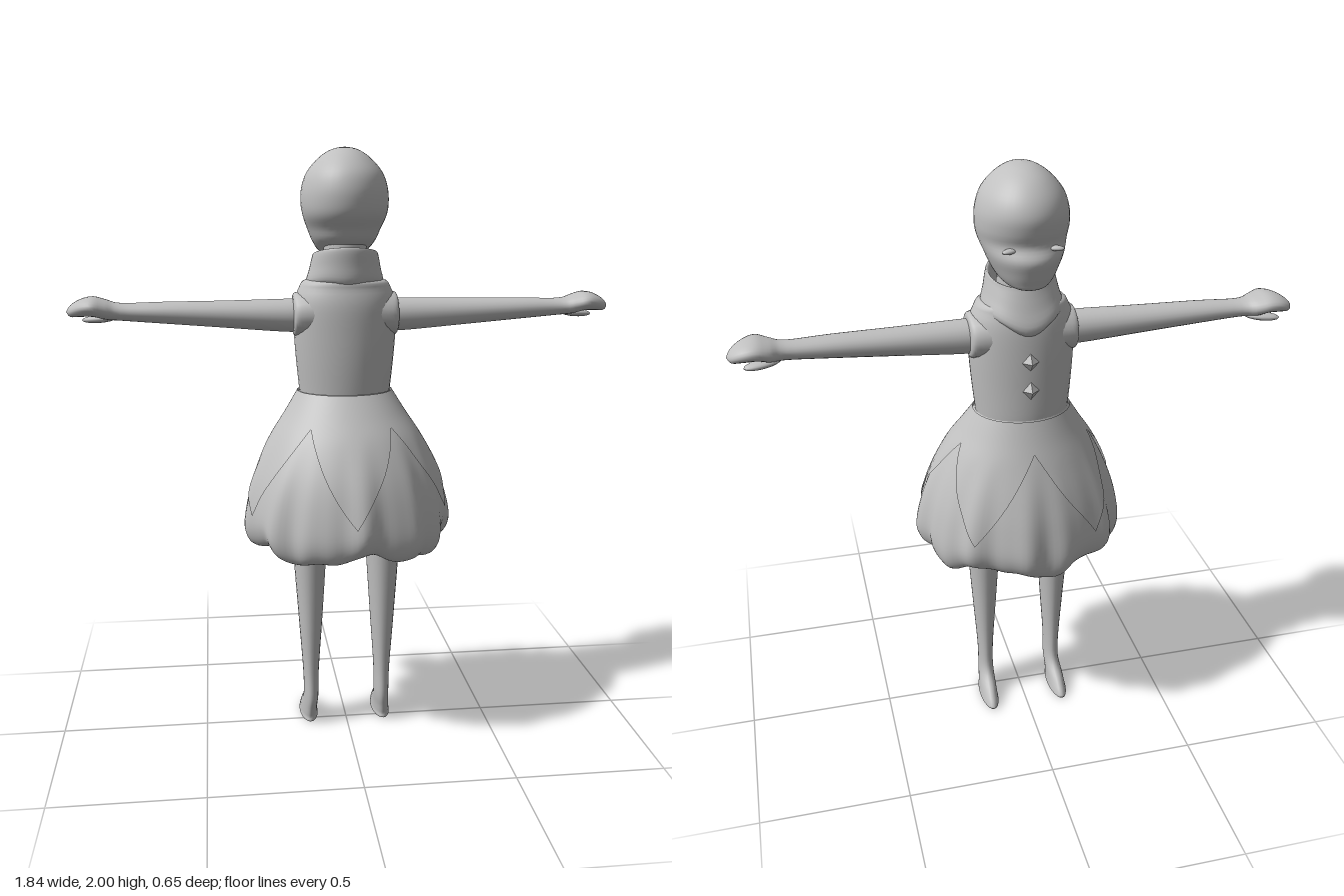
import * as THREE from 'three';

const grey = new THREE.MeshStandardMaterial({ color: 0xc0c0c0, side: THREE.DoubleSide });
grey.name = 'plain grey';

// Closed-loop surface: fn(angle, t) -> [x, y, z], rows running upwards
function surface(rows, cols, fn) {
  const pos = [], idx = [];
  for (let i = 0; i <= rows; i++)
    for (let j = 0; j < cols; j++) pos.push(...fn((j / cols) * Math.PI * 2, i / rows));
  for (let i = 0; i < rows; i++)
    for (let j = 0; j < cols; j++) {
      const a = i * cols + j, b = i * cols + ((j + 1) % cols);
      idx.push(a, b, b + cols, a, b + cols, a + cols);
    }
  const g = new THREE.BufferGeometry();
  g.setAttribute('position', new THREE.Float32BufferAttribute(pos, 3));
  g.setIndex(idx);
  g.computeVertexNormals();
  return g;
}

// Smooth interpolation between cross-sections [height, centreX, centreZ, radiusX, radiusZ]
function sample(sec, u) {
  const n = sec.length - 1;
  const i = Math.min(Math.floor(u), n - 1), f = u - i;
  const p = (k) => sec[Math.max(0, Math.min(n, k))];
  return sec[0].map((_, c) => {
    const [a, b, d, e] = [p(i - 1)[c], p(i)[c], p(i + 1)[c], p(i + 2)[c]];
    return b + 0.5 * f * (d - a + f * (2 * a - 5 * b + 4 * d - e + f * (3 * (b - d) + e - a)));
  });
}

function loft(sec, cols = 28, steps = 4, warp = (a, y) => y) {
  const n = sec.length - 1;
  return surface(n * steps, cols, (a, t) => {
    const [y, cx, cz, rx, rz] = sample(sec, t * n);
    return [cx + Math.max(0, rx) * Math.sin(a), warp(a, y, t), cz + Math.max(0, rz) * Math.cos(a)];
  });
}

// Sections given as [x, y, z, radiusY, radiusZ], laid out sideways for one side
function sideLoft(sec, s, cols) {
  return loft(sec.map(([x, y, z, ry, rz]) => [x, -s * y, z, ry, rz]), cols).rotateZ((-s * Math.PI) / 2);
}

// Puffed skirt: inner lining, curled hem, then outer wall up to the waist
const SKIRT = [
  [0.92, 0, 0, 0.1, 0.1], [0.76, 0, 0, 0.21, 0.19], [0.685, 0, 0, 0.28, 0.25],
  [0.69, 0, 0, 0.325, 0.295], [0.75, 0, 0, 0.347, 0.313], [0.85, 0, 0, 0.332, 0.297],
  [0.95, 0, -0.002, 0.298, 0.266], [1.05, 0, -0.01, 0.248, 0.22],
  [1.13, 0, -0.025, 0.196, 0.172], [1.2, 0, -0.04, 0.153, 0.13],
];
function skirtPoint(a, u, lift) {
  const [y, cx, cz, rx, rz] = sample(SKIRT, u);
  const fade = THREE.MathUtils.clamp((1.08 - y) / 0.35, 0, 1);
  const fold = 0.55 * Math.sin(13 * a + 0.6) + 0.35 * Math.sin(8 * a + 2) + 0.25 * Math.sin(21 * a);
  const k = 1 + 0.045 * fade * fold;
  const sag = 0.018 * fade * fade * (Math.sin(5 * a + 1) + 0.5 * Math.sin(11 * a));
  return [cx + (rx * k + lift) * Math.sin(a), y + sag, cz + (rz * k + lift) * Math.cos(a)];
}

export function createModel() {
  const root = new THREE.Group();
  root.name = 'figure in puffed dress';
  const add = (name, geo, parent = root) => {
    const m = new THREE.Mesh(geo, grey);
    m.name = name;
    parent.add(m);
    return m;
  };

  // Head with chin and brow towards -z
  add('head', loft([
    [1.638, 0, -0.135, 0, 0], [1.645, 0, -0.135, 0.048, 0.045], [1.665, 0, -0.1, 0.082, 0.092],
    [1.7, 0, -0.07, 0.106, 0.135], [1.74, 0, -0.062, 0.123, 0.152], [1.78, 0, -0.038, 0.138, 0.157],
    [1.82, 0, -0.038, 0.145, 0.168], [1.87, 0, -0.041, 0.142, 0.171], [1.92, 0, -0.04, 0.124, 0.152],
    [1.965, 0, -0.04, 0.085, 0.108], [1.992, 0, -0.037, 0.042, 0.055], [2.0, 0, -0.035, 0, 0],
  ], 40));
  add('neck', new THREE.CylinderGeometry(0.07, 0.08, 0.18, 24).translate(0, 1.62, -0.02));

  // Stand-up collar, lower and pointed at the front
  add('collar', loft([
    [1.565, 0, -0.035, 0.115, 0.105], [1.585, 0, -0.04, 0.131, 0.126], [1.63, 0, -0.03, 0.12, 0.118],
    [1.67, 0, -0.02, 0.111, 0.11], [1.683, 0, -0.02, 0.106, 0.105], [1.67, 0, -0.02, 0.096, 0.095],
    [1.6, 0, -0.02, 0.085, 0.085],
  ], 48, 4, (a, y, t) => {
    const front = Math.max(0, -Math.cos(a)), low = Math.max(0, 1 - t * 2);
    const back = Math.max(0, Math.cos(a)) ** 10;
    return y - 0.025 * (1 - Math.cos(a)) - low * (0.045 * front ** 6 + 0.015 * back);
  }));

  // Bodice
  add('bodice', loft([
    [1.14, 0, -0.04, 0.15, 0.125], [1.2, 0, -0.04, 0.155, 0.13], [1.3, 0, -0.036, 0.165, 0.131],
    [1.4, 0, -0.033, 0.172, 0.129], [1.49, 0, -0.03, 0.172, 0.124], [1.545, 0, -0.03, 0.155, 0.113],
    [1.575, 0, -0.03, 0.125, 0.1], [1.59, 0, -0.03, 0, 0],
  ], 40));

  // Faceted buttons down the front
  [[1.4, -0.162], [1.305, -0.168]].forEach(([y, z]) => {
    add('button', new THREE.OctahedronGeometry(0.03).scale(0.9, 1, 0.75).translate(0, y, z));
  });

  // Puffed underskirt and pointed five-petal overskirt
  add('underskirt', surface(45, 130, (a, t) => skirtPoint(a, t * 9, 0)));
  add('overskirt', surface(16, 130, (a, t) => {
    const f = ((a / (Math.PI * 2)) * 5) % 1;
    const notch = 1 - Math.abs(2 * f - 1);
    return skirtPoint(a, THREE.MathUtils.lerp(4.45 + 3.15 * notch, 9, t), 0.009);
  }));

  for (const s of [1, -1]) {
    const side = s > 0 ? 'left' : 'right';

    // Closed eyelid
    const eye = add(side + 'Eyelid', new THREE.SphereGeometry(1, 16, 10));
    eye.scale.set(0.028, 0.008, 0.014);
    eye.position.set(s * 0.07, 1.772, -0.178);
    eye.rotation.y = s * 0.45;

    // Armhole, arm with mitten hand, and thumb
    const arm = new THREE.Group();
    arm.name = side + 'Arm';
    root.add(arm);
    add('armhole', sideLoft([
      [0.08, 1.465, -0.03, 0.085, 0.1], [0.15, 1.46, -0.03, 0.075, 0.09],
      [0.172, 1.458, -0.03, 0.069, 0.077], [0.176, 1.457, -0.03, 0.05, 0.05],
    ], s, 24), arm);
    add('armAndHand', sideLoft([
      [0.1, 1.455, -0.03, 0.056, 0.058], [0.2, 1.455, -0.03, 0.055, 0.058], [0.4, 1.461, -0.034, 0.045, 0.052],
      [0.6, 1.468, -0.039, 0.036, 0.046], [0.74, 1.472, -0.045, 0.029, 0.041], [0.79, 1.48, -0.05, 0.033, 0.062],
      [0.83, 1.49, -0.049, 0.033, 0.074], [0.87, 1.486, -0.055, 0.029, 0.063], [0.905, 1.475, -0.06, 0.019, 0.036],
      [0.92, 1.472, -0.062, 0, 0],
    ], s, 24), arm);
    const thumb = add('thumb', new THREE.SphereGeometry(1, 16, 10), arm);
    thumb.scale.set(0.06, 0.013, 0.026);
    thumb.position.set(s * 0.815, 1.446, -0.075);
    thumb.rotation.set(0, s * 0.25, s * -0.08);

    // Leg and pointed foot
    const x = s * 0.127;
    add(side + 'Leg', loft([
      [0, x, -0.055, 0, 0], [0.002, s * 0.131, -0.057, 0.03, 0.092], [0.02, s * 0.131, -0.055, 0.03, 0.095],
      [0.05, s * 0.13, -0.033, 0.028, 0.082], [0.1, x, 0.005, 0.026, 0.056], [0.2, x, 0.009, 0.028, 0.051],
      [0.4, x, 0.01, 0.042, 0.061], [0.68, x, 0.005, 0.06, 0.075], [0.9, s * 0.12, 0, 0.066, 0.08],
    ], 24, 4, (a, y) => Math.max(0, y)));
  }
  return root;
}
